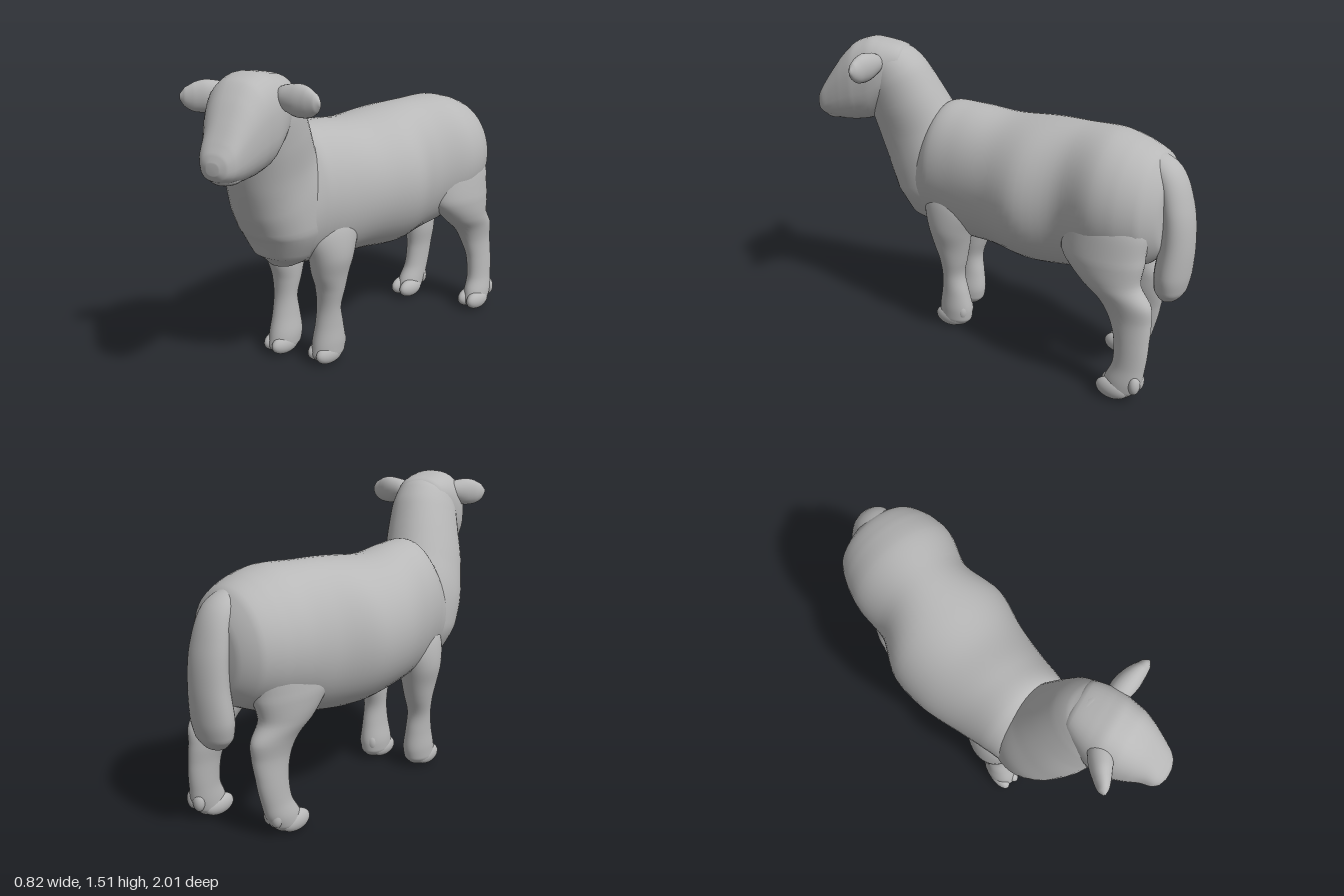
import * as THREE from 'three';

const wool = new THREE.MeshStandardMaterial({ color: 0xb8b8b8 });
wool.name = 'grey wool';

// Smooth closed skin over oval stations [x, y, z, halfWidth, halfHeight].
// `side` is the width direction; `axis` optionally fixes the ring normal;
// `pow` below 1 makes the ovals squarer.
function loft(name, stations, { axis = null, side = [1, 0, 0], seg = 36, sub = 6, pow = 1 } = {}) {
  const path = new THREE.CatmullRomCurve3(stations.map(s => new THREE.Vector3(s[0], s[1], s[2])));
  const size = new THREE.CatmullRomCurve3(stations.map(s => new THREE.Vector3(s[3], s[4], 0)));
  const bulge = q => Math.sign(q) * Math.abs(q) ** pow;
  const n = (stations.length - 1) * sub;
  const pos = [], idx = [];
  const u = new THREE.Vector3(), v = new THREE.Vector3();
  for (let i = 0; i <= n; i++) {
    const c = path.getPoint(i / n), r = size.getPoint(i / n);
    const t = axis ? new THREE.Vector3(...axis) : path.getTangent(i / n);
    u.set(...side);
    u.addScaledVector(t, -u.dot(t)).normalize();
    v.crossVectors(t, u);
    for (let j = 0; j < seg; j++) {
      const a = (j / seg) * Math.PI * 2;
      const p = c.clone().addScaledVector(u, bulge(Math.cos(a)) * r.x)
        .addScaledVector(v, bulge(Math.sin(a)) * r.y);
      pos.push(p.x, p.y, p.z);
    }
  }
  for (let i = 0; i < n; i++) {
    for (let j = 0; j < seg; j++) {
      const k = (j + 1) % seg;
      const a = i * seg + j, b = i * seg + k, c = a + seg, d = b + seg;
      idx.push(a, b, c, b, d, c);
    }
  }
  // End caps
  const first = stations[0], last = stations[stations.length - 1];
  const s0 = pos.length / 3, s1 = s0 + 1;
  pos.push(first[0], first[1], first[2], last[0], last[1], last[2]);
  for (let j = 0; j < seg; j++) {
    const k = (j + 1) % seg;
    idx.push(s0, k, j, s1, n * seg + j, n * seg + k);
  }
  const g = new THREE.BufferGeometry();
  g.setAttribute('position', new THREE.Float32BufferAttribute(pos, 3));
  g.setIndex(idx);
  g.computeVertexNormals();
  const mesh = new THREE.Mesh(g, wool);
  mesh.name = name;
  return mesh;
}

function blob(name, x, y, z, rx, ry, rz) {
  const mesh = new THREE.Mesh(new THREE.SphereGeometry(1, 24, 16), wool);
  mesh.name = name;
  mesh.position.set(x, y, z);
  mesh.scale.set(rx, ry, rz);
  return mesh;
}

// Leg with two toes and a small heel bump
function leg(name, stations, heel) {
  const g = new THREE.Group();
  g.name = name;
  g.add(loft('limb', stations, { axis: [0, -1, 0] }));
  const [x, , z] = stations[stations.length - 1];
  for (const s of [-1, 1]) {
    g.add(blob('toe', x + s * 0.031, 0.052, z + 0.014, 0.039, 0.052, 0.083));
    g.add(blob('heel', x + s * 0.022, 0.1, z - heel, 0.032, 0.05, 0.028));
  }
  return g;
}

// Left-side leg stations; the right legs are mirrored and step forward
const FRONT = [
  [0.07, 0.87, 0.25, 0.04, 0.07], [0.075, 0.80, 0.25, 0.085, 0.13], [0.088, 0.70, 0.25, 0.105, 0.155],
  [0.1, 0.58, 0.255, 0.1, 0.122], [0.09, 0.48, 0.255, 0.088, 0.097], [0.085, 0.40, 0.25, 0.077, 0.073],
  [0.08, 0.30, 0.255, 0.063, 0.058], [0.075, 0.20, 0.25, 0.064, 0.075], [0.07, 0.10, 0.25, 0.071, 0.094],
  [0.07, 0.05, 0.255, 0.068, 0.094], [0.07, 0.015, 0.26, 0.048, 0.07]];
const HIND = [
  [0.1, 1.02, -0.65, 0.04, 0.08], [0.11, 0.94, -0.65, 0.1, 0.16], [0.13, 0.80, -0.645, 0.122, 0.21],
  [0.15, 0.68, -0.645, 0.115, 0.205], [0.163, 0.57, -0.69, 0.093, 0.152], [0.16, 0.48, -0.77, 0.073, 0.13],
  [0.158, 0.40, -0.80, 0.063, 0.105], [0.17, 0.30, -0.82, 0.056, 0.086], [0.18, 0.18, -0.82, 0.056, 0.08],
  [0.188, 0.10, -0.80, 0.061, 0.09], [0.19, 0.05, -0.785, 0.06, 0.085], [0.19, 0.015, -0.775, 0.04, 0.06]];

const mirrorLeg = (stations, shift, lean, step) => stations.map(([x, y, z, w, h]) => {
  const k = Math.min(1, y / 0.85);
  return [shift + lean * k - x, y, z + step * (1 - k * 0.9), w, h];
});

function createHead() {
  // Built facing +z, then turned a little to the left
  const head = new THREE.Group();
  head.name = 'head';
  head.position.set(0.085, 0, 0.65);
  head.rotation.y = 0.36;
  head.add(loft('skull and muzzle', [
    [0, 1.39, -0.14, 0.05, 0.04], [0, 1.38, -0.1, 0.12, 0.1], [-0.008, 1.336, 0, 0.157, 0.168],
    [-0.016, 1.301, 0.08, 0.163, 0.207], [-0.015, 1.283, 0.15, 0.154, 0.202], [-0.008, 1.25, 0.22, 0.13, 0.17],
    [0, 1.214, 0.28, 0.104, 0.127], [0, 1.185, 0.33, 0.086, 0.084], [0, 1.172, 0.357, 0.062, 0.055],
    [0, 1.168, 0.37, 0.028, 0.025]], { axis: [0, 0, 1], pow: 0.82 }));
  head.add(blob('lower lip', 0, 1.113, 0.275, 0.07, 0.032, 0.068));

  // Ears swept a little further round than the face
  const ears = new THREE.Group();
  ears.name = 'ears';
  ears.rotation.y = 0.18;
  for (const s of [-1, 1]) {
    ears.add(loft(s > 0 ? 'left ear' : 'right ear', [
      [s * 0.08, 1.4, 0.025, 0.03, 0.03], [s * 0.14, 1.405, 0.045, 0.052, 0.055],
      [s * 0.2, 1.4, 0.07, 0.05, 0.07], [s * 0.25, 1.397, 0.093, 0.038, 0.063],
      [s * 0.287, 1.4, 0.11, 0.024, 0.04], [s * 0.305, 1.402, 0.12, 0.006, 0.01]],
      { side: [0, 0, 1], seg: 24 }));
  }
  head.add(ears);
  return head;
}

export function createModel() {
  const sheep = new THREE.Group();
  sheep.name = 'sheep';

  // Barrel from rump to chest
  sheep.add(loft('body', [
    [-0.035, 0.86, -0.895, 0.05, 0.07], [-0.035, 0.87, -0.88, 0.15, 0.18], [-0.037, 0.885, -0.82, 0.238, 0.262],
    [-0.035, 0.885, -0.72, 0.282, 0.308], [-0.04, 0.88, -0.6, 0.298, 0.34], [-0.058, 0.855, -0.42, 0.272, 0.36],
    [-0.07, 0.84, -0.2, 0.338, 0.362], [-0.08, 0.84, 0, 0.31, 0.345], [-0.06, 0.853, 0.2, 0.266, 0.352],
    [-0.043, 0.865, 0.34, 0.241, 0.338], [-0.04, 0.82, 0.43, 0.208, 0.275], [-0.035, 0.78, 0.49, 0.14, 0.19],
    [-0.035, 0.76, 0.525, 0.04, 0.06]], { axis: [0, 0, 1], seg: 48 }));

  // Brisket, neck and back of the head
  sheep.add(loft('neck', [
    [-0.04, 0.54, 0.445, 0.05, 0.06], [-0.04, 0.6, 0.435, 0.14, 0.14], [-0.04, 0.75, 0.43, 0.212, 0.207],
    [-0.035, 0.9, 0.46, 0.213, 0.23], [-0.01, 1.05, 0.52, 0.19, 0.22], [0.03, 1.2, 0.57, 0.173, 0.2],
    [0.062, 1.32, 0.615, 0.156, 0.182], [0.08, 1.4, 0.65, 0.136, 0.145], [0.085, 1.455, 0.675, 0.09, 0.09],
    [0.085, 1.475, 0.685, 0.03, 0.025]], { seg: 40, pow: 0.93 }));

  sheep.add(createHead());

  // Legs
  sheep.add(leg('left front leg', FRONT, 0.068));
  sheep.add(leg('right front leg', mirrorLeg(FRONT, -0.095, 0, 0.09), 0.068));
  sheep.add(leg('left hind leg', HIND, 0.092));
  sheep.add(leg('right hind leg', mirrorLeg(HIND, 0.005, -0.06, 0.15), 0.092));

  // Hanging tail
  sheep.add(loft('tail', [
    [-0.035, 1.14, -0.73, 0.05, 0.03], [-0.035, 1.055, -0.855, 0.09, 0.064], [-0.035, 0.9, -0.912, 0.108, 0.07],
    [-0.035, 0.75, -0.925, 0.112, 0.075], [-0.035, 0.6, -0.915, 0.122, 0.08], [-0.035, 0.51, -0.908, 0.105, 0.07],
    [-0.035, 0.46, -0.905, 0.06, 0.04], [-0.035, 0.45, -0.905, 0.025, 0.015]]));

  return sheep;
}
